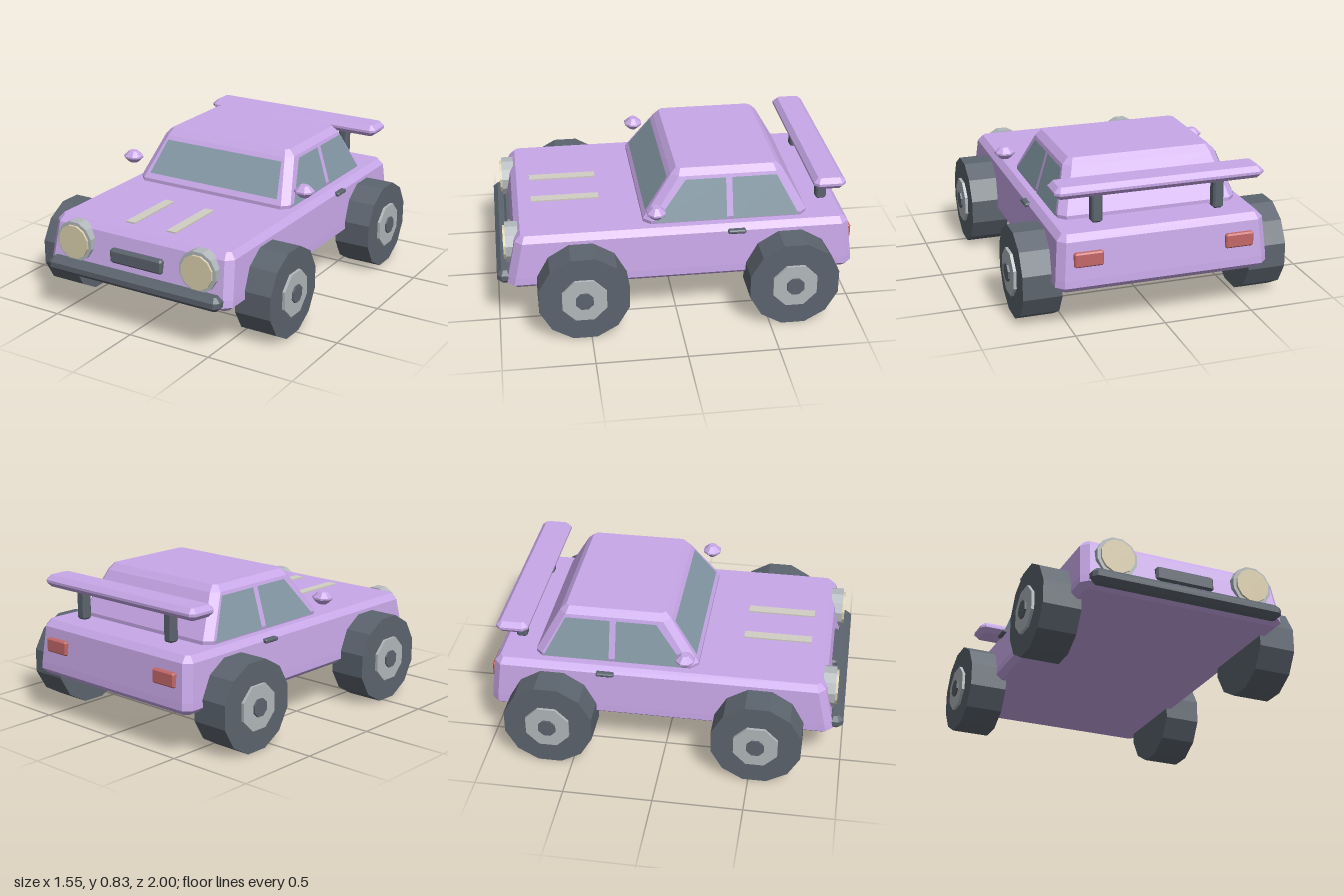
import * as THREE from 'three';

const mat = (color) => new THREE.MeshStandardMaterial({ color, flatShading: true });

// Stacked chamfered rectangles; each level is [y, halfWidth, zFront, zBack, cornerCut]
function loft(levels) {
  const rings = levels.map(([y, x, f, b, c]) => [
    [x, y, f - c], [x, y, b + c], [x - c, y, b], [c - x, y, b],
    [-x, y, b + c], [-x, y, f - c], [c - x, y, f], [x - c, y, f],
  ]);
  const tris = [];
  for (let k = 0; k < rings.length - 1; k++) {
    for (let i = 0; i < 8; i++) {
      const j = (i + 1) % 8, lo = rings[k], hi = rings[k + 1];
      tris.push(lo[i], lo[j], hi[j], lo[i], hi[j], hi[i]);
    }
  }
  const bottom = rings[0], top = rings[rings.length - 1];
  for (let i = 1; i < 7; i++) {
    tris.push(top[0], top[i], top[i + 1], bottom[0], bottom[i + 1], bottom[i]);
  }
  return fromPoints(tris);
}

function fromPoints(points) {
  const g = new THREE.BufferGeometry();
  g.setAttribute('position', new THREE.Float32BufferAttribute(points.flat(), 3));
  g.computeVertexNormals();
  return g;
}

// Box with every edge chamfered
function block(w, h, d, c) {
  const x = w / 2, y = h / 2, z = d / 2;
  return loft([
    [-y, x - c, z - c, c - z, c * 0.4], [c - y, x, z, -z, c],
    [y - c, x, z, -z, c], [y, x - c, z - c, c - z, c * 0.4],
  ]);
}

const quad = (a, b, c, d) => fromPoints([a, b, c, a, c, d]);

// Cylinder with flat facets facing up, down and sideways; radius is measured to the flats
function disc(flatRadius, length, sides) {
  const r = flatRadius / Math.cos(Math.PI / sides);
  return new THREE.CylinderGeometry(r, r, length, sides).rotateY(Math.PI / sides);
}

export function createModel() {
  const car = new THREE.Group();
  car.name = 'car';
  const paint = mat(0xc8a8e8), dark = mat(0x5c646e), metal = mat(0xb2b8bc);
  const cream = mat(0xdccfae), stripe = mat(0xd2cfc4), red = mat(0xc46868);
  const glass = mat(0x8499a5);
  glass.side = THREE.DoubleSide;

  const add = (name, geometry, material, x = 0, y = 0, z = 0, parent = car) => {
    const mesh = new THREE.Mesh(geometry, material);
    mesh.name = name;
    mesh.position.set(x, y, z);
    parent.add(mesh);
    return mesh;
  };

  // Main body and cabin
  add('body', loft([
    [0.24, 0.56, 0.91, -0.965, 0.02],
    [0.27, 0.594, 0.945, -0.993, 0.04],
    [0.31, 0.592, 0.938, -0.99, 0.04],
    [0.515, 0.575, 0.893, -0.967, 0.04],
    [0.55, 0.545, 0.86, -0.935, 0.02],
  ]), paint);
  add('cabin', loft([
    [0.54, 0.5, 0.18, -0.74, 0.04],
    [0.57, 0.505, 0.18, -0.74, 0.04],
    [0.8, 0.435, 0.017, -0.61, 0.04],
    [0.835, 0.4, -0.015, -0.575, 0.02],
  ]), paint);

  // Windows lie just outside the sloped cabin walls
  const shieldZ = (y) => 0.18 - (y - 0.57) * 0.709 + 0.005;
  const sideX = (y) => 0.505 - (y - 0.57) * 0.304 + 0.005;
  const onFront = (x, y) => [x, y, shieldZ(y)];
  add('windscreen', quad(onFront(-0.43, 0.6), onFront(0.43, 0.6), onFront(0.385, 0.778), onFront(-0.385, 0.778)), glass);

  for (const s of [1, -1]) {
    const side = s > 0 ? 'left' : 'right';
    const onSide = (y, z) => [s * sideX(y), y, z];
    const window = (name, lowFront, lowBack, highBack, highFront) => {
      const p = [onSide(0.56, lowFront), onSide(0.56, lowBack), onSide(0.783, highBack), onSide(0.783, highFront)];
      add(name, quad(...(s > 0 ? p : p.reverse())), glass);
    };
    window(side + 'FrontWindow', 0.115, -0.285, -0.285, -0.06);
    window(side + 'RearWindow', -0.32, -0.69, -0.57, -0.32);

    add(side + 'Mirror', block(0.11, 0.07, 0.1, 0.03), paint, s * 0.58, 0.665, 0.12);
    add(side + 'DoorHandle', block(0.04, 0.022, 0.1, 0.006), dark, s * 0.576, 0.515, -0.33);
    add(side + 'HoodStripe', new THREE.BoxGeometry(0.058, 0.016, 0.385), stripe, s * 0.133, 0.55, 0.593);

    // Lamps
    add(side + 'HeadlightRim', disc(0.112, 0.07, 12).rotateX(Math.PI / 2), metal, s * 0.4, 0.44, 0.908);
    add(side + 'HeadlightLens', disc(0.094, 0.04, 12).rotateX(Math.PI / 2), cream, s * 0.4, 0.44, 0.936);
    add(side + 'TailLight', block(0.16, 0.08, 0.04, 0.008), red, s * 0.42, 0.42, -0.978);

    // Wheels
    for (const [end, z] of [['Front', 0.535], ['Rear', -0.63]]) {
      const wheel = new THREE.Group();
      wheel.name = side + end + 'Wheel';
      wheel.position.set(s * 0.64, 0.248, z);
      car.add(wheel);
      const turn = Math.PI / 2;
      add('tire', disc(0.248, 0.215, 12).rotateZ(turn), dark, 0, 0, 0, wheel);
      add('hub', disc(0.122, 0.04, 8).rotateZ(turn), metal, s * 0.104, 0, 0, wheel);
      add('hubCap', disc(0.048, 0.04, 8).rotateZ(turn), dark, s * 0.115, 0, 0, wheel);
    }

    add(side + 'SpoilerPost', block(0.06, 0.19, 0.06, 0.01), dark, s * 0.34, 0.665, -0.85);
  }

  // Spoiler, bumper and grille
  add('spoilerWing', block(1.16, 0.066, 0.18, 0.026), paint, 0, 0.765, -0.845);
  add('frontBumper', block(1.11, 0.08, 0.09, 0.025), dark, 0, 0.295, 0.955);
  add('grille', block(0.34, 0.082, 0.05, 0.012), dark, 0, 0.405, 0.915);

  return car;
}
